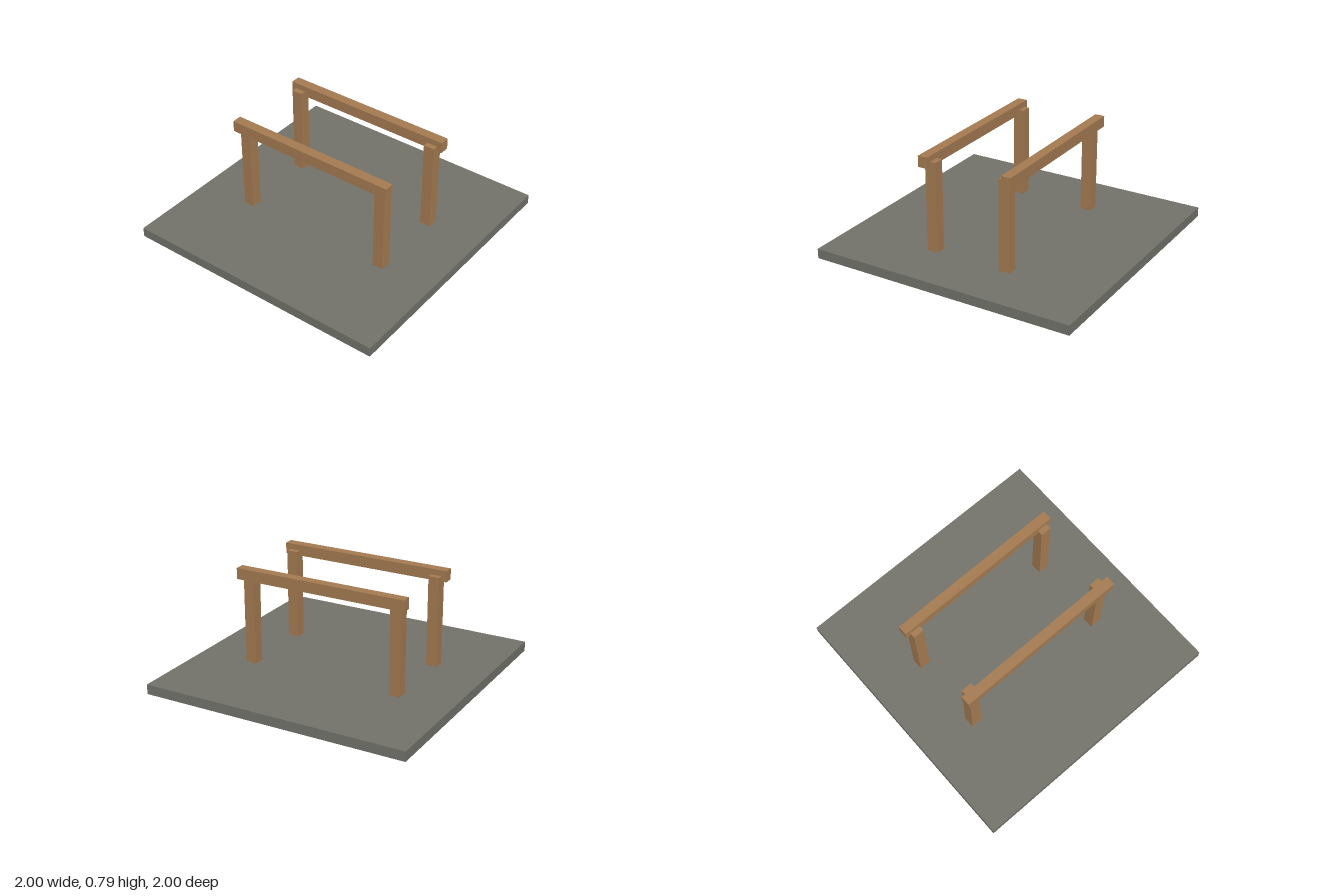
import * as THREE from 'three';

export function createModel() {
  const model = new THREE.Group();
  const stone = new THREE.MeshStandardMaterial({ color: 0x74746c });
  stone.name = 'stone';
  const wood = new THREE.MeshStandardMaterial({ color: 0xa67c52 });
  wood.name = 'wood';

  // Box standing on a given base height
  function addBox(parent, name, material, [w, h, d], [x, base, z]) {
    const mesh = new THREE.Mesh(new THREE.BoxGeometry(w, h, d), material);
    mesh.name = name;
    mesh.position.set(x, base + h / 2, z);
    parent.add(mesh);
  }

  // Square ground slab
  addBox(model, 'baseSlab', stone, [2, 0.073, 2], [0, 0, 0]);

  // Two railings: a pair of posts with a beam set outward over their tops
  for (const side of [1, -1]) {
    const railing = new THREE.Group();
    railing.name = side > 0 ? 'frontRailing' : 'backRailing';
    for (const x of [0.578, -0.578]) {
      addBox(railing, x > 0 ? 'leftPost' : 'rightPost', wood,
        [0.082, 0.675, 0.082], [x, 0.073, side * 0.29]);
    }
    addBox(railing, 'topRail', wood, [1.31, 0.082, 0.072], [0, 0.709, side * 0.327]);
    model.add(railing);
  }
  return model;
}
